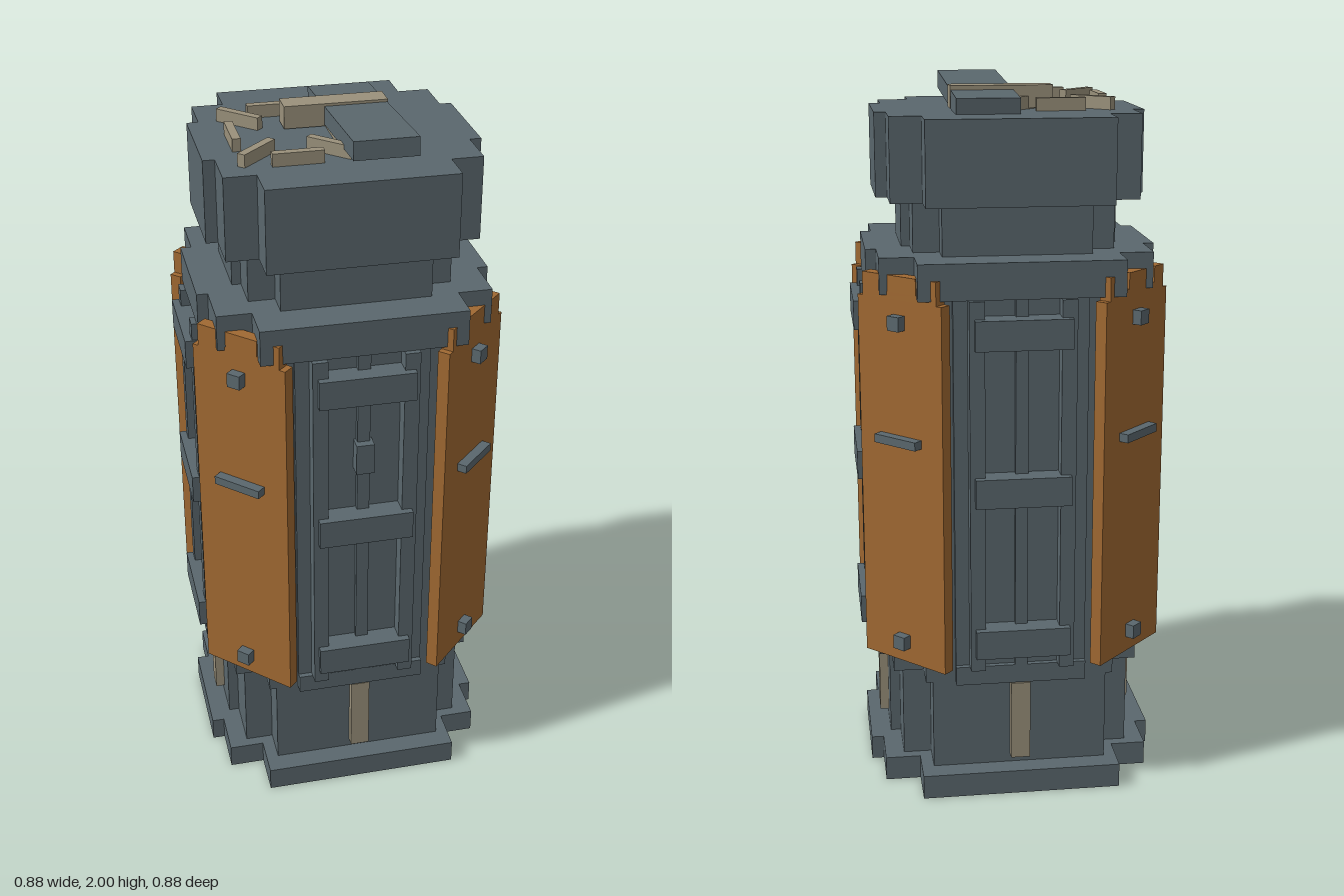
import * as THREE from 'three';

const stone = new THREE.MeshStandardMaterial({ color: 0x5a676d });
stone.name = 'slate stone';
const copper = new THREE.MeshStandardMaterial({ color: 0xa06932 });
copper.name = 'copper brown';
const tan = new THREE.MeshStandardMaterial({ color: 0x9a917b });
tan.name = 'dull tan';

function box(parent, name, mat, w, h, d, x, y, z) {
  const m = new THREE.Mesh(new THREE.BoxGeometry(w, h, d), mat);
  m.name = name;
  m.position.set(x, y, z);
  parent.add(m);
  return m;
}

// Extruded plan outline with stepped corners; steps are [halfX, halfZ] pairs
function tier(parent, name, y0, y1, steps) {
  const corner = [];
  steps.forEach(([x, z], i) => {
    corner.push([x, z]);
    if (i < steps.length - 1) corner.push([x, steps[i + 1][1]]);
  });
  const back = [...corner].reverse();
  const pts = [
    ...back,
    ...corner.map(([x, z]) => [-x, z]),
    ...back.map(([x, z]) => [-x, -z]),
    ...corner.map(([x, z]) => [x, -z]),
  ].map(([x, z]) => new THREE.Vector2(x, z));
  const g = new THREE.ExtrudeGeometry(new THREE.Shape(pts), { depth: y1 - y0, bevelEnabled: false });
  g.rotateX(-Math.PI / 2);
  g.translate(0, y0, 0);
  const m = new THREE.Mesh(g, stone);
  m.name = name;
  parent.add(m);
}

// Corner panel with a notched upper edge, pegs and a strap; faces +z
function cornerPanel() {
  const g = new THREE.Group();
  g.name = 'cornerPanel';
  const s = new THREE.Shape([
    [-0.148, 0.39], [0.148, 0.39], [0.148, 1.44], [0.13, 1.44], [0.13, 1.505],
    [0.085, 1.505], [0.085, 1.46], [0.06, 1.46], [0.06, 1.505], [-0.04, 1.505],
    [-0.04, 1.46], [-0.065, 1.46], [-0.065, 1.505], [-0.13, 1.505], [-0.13, 1.44], [-0.148, 1.44],
  ].map(([x, y]) => new THREE.Vector2(x, y)));
  const plate = new THREE.Mesh(new THREE.ExtrudeGeometry(s, { depth: 0.035, bevelEnabled: false }), copper);
  plate.name = 'panelPlate';
  plate.position.z = 0.425;
  g.add(plate);
  for (const y of [0.455, 1.38]) box(g, 'panelPeg', stone, 0.04, 0.04, 0.14, 0, y, 0.417);
  box(g, 'panelStrap', stone, 0.146, 0.024, 0.03, 0, 1.05, 0.473);
  return g;
}

// Framed door on each side; faces +z
function sideFrame(barX, hasLatch) {
  const g = new THREE.Group();
  g.name = 'sideFrame';
  for (const s of [-1, 1]) box(g, 'uprightBar', stone, 0.042, 1.06, 0.06, s * barX, 0.92, 0.39);
  box(g, 'centreRib', stone, 0.035, 1.06, 0.04, 0, 0.92, 0.372);
  for (const y of [0.475, 0.92, 1.36]) box(g, 'crossbar', stone, 0.265, 0.083, 0.07, 0, y, 0.405);
  if (hasLatch) box(g, 'latch', stone, 0.05, 0.09, 0.05, 0, 1.135, 0.39);
  box(g, 'lowerStrip', tan, 0.055, 0.235, 0.04, 0, 0.2125, 0.366);
  return g;
}

export function createModel() {
  const model = new THREE.Group();
  model.name = 'steppedTower';

  // Stacked body tiers
  tier(model, 'base', 0, 0.07, [[0.285, 0.42], [0.385, 0.295], [0.42, 0.16]]);
  tier(model, 'plinth', 0.07, 0.335, [[0.25, 0.36], [0.33, 0.265], [0.36, 0.12]]);
  tier(model, 'lowerRing', 0.335, 0.39, [[0.185, 0.39], [0.27, 0.36], [0.355, 0.27], [0.39, 0.15]]);
  tier(model, 'body', 0.39, 1.45, [[0.185, 0.375], [0.25, 0.36], [0.34, 0.265], [0.372, 0.15]]);
  tier(model, 'shoulder', 1.45, 1.55, [[0.28, 0.405], [0.375, 0.295], [0.405, 0.155]]);
  tier(model, 'neck', 1.55, 1.69, [[0.205, 0.3], [0.278, 0.225], [0.303, 0.115]]);
  tier(model, 'cap', 1.69, 1.92, [[0.253, 0.372], [0.34, 0.27], [0.372, 0.143]]);

  // Four side frames and four corner panels
  for (let i = 0; i < 4; i++) {
    const frame = sideFrame(i % 2 ? 0.107 : 0.125, i === 0);
    frame.rotation.y = i * Math.PI / 2;
    const panel = cornerPanel();
    panel.rotation.y = (i + 0.5) * Math.PI / 2;
    model.add(frame, panel);
  }

  // Tilted slab and its crosspiece on the cap
  const slab = box(model, 'topSlab', stone, 0.173, 0.05, 0.555, 0.072, 1.957, 0.031);
  slab.rotation.x = -0.07;
  box(model, 'topCrosspiece', tan, 0.285, 0.062, 0.068, 0.018, 1.954, -0.064);

  // Oval ring of small bars
  for (let i = 0; i < 8; i++) {
    const a = i * Math.PI / 4;
    const bar = box(model, 'ringBar', tan, 0.136, 0.035, 0.023,
      -0.137 + 0.138 * Math.cos(a), 1.9375, 0.031 + 0.184 * Math.sin(a));
    bar.rotation.y = Math.PI / 2 + a;
  }
  return model;
}
